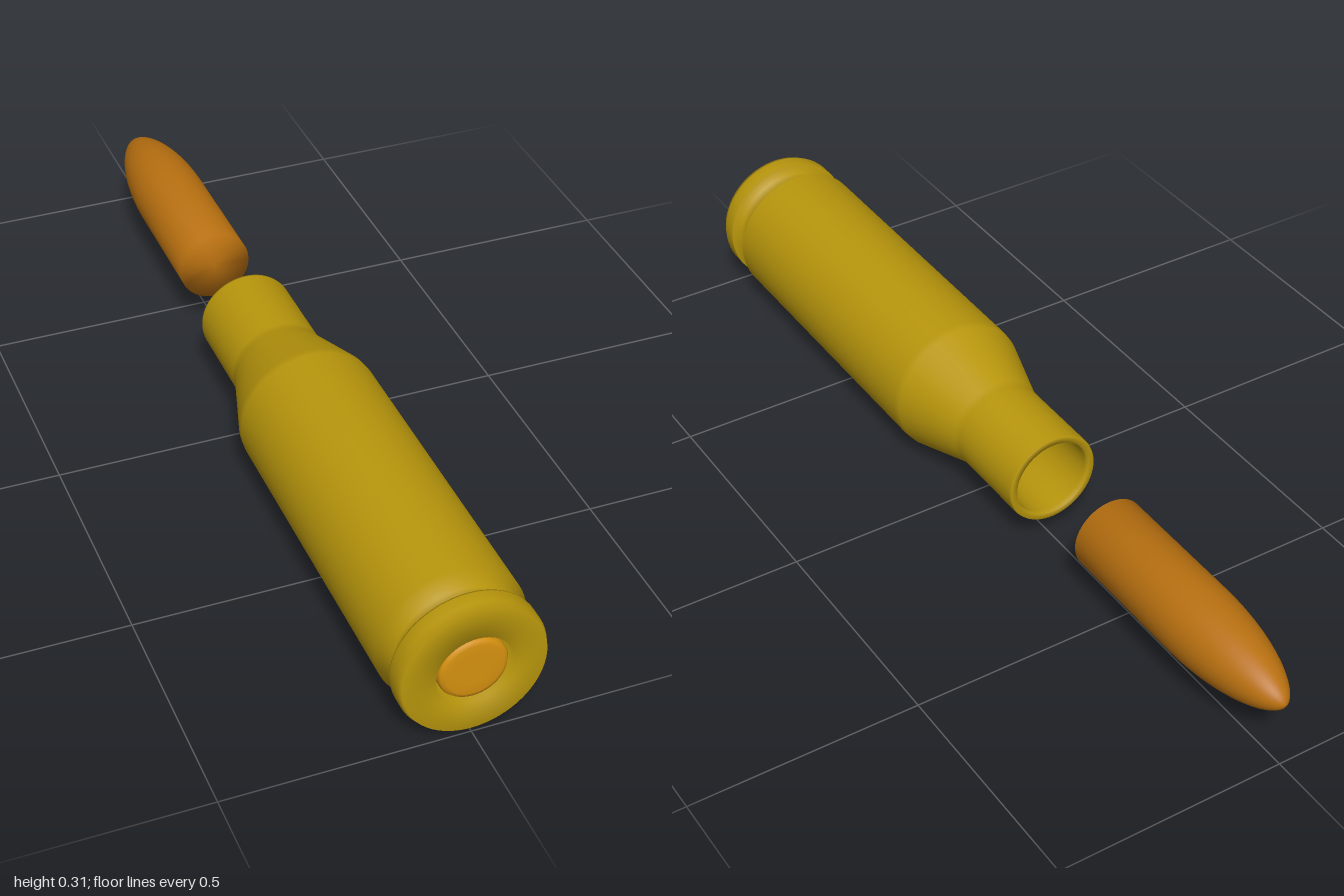
import * as THREE from 'three';

const AXIS_Y = 0.154;

// Revolves a [radius, z] profile about the z axis.
function turned(name, profile, color) {
  const points = profile.map(([r, z]) => new THREE.Vector2(r, z));
  const geometry = new THREE.LatheGeometry(points, 64).rotateX(Math.PI / 2);
  const mesh = new THREE.Mesh(geometry, new THREE.MeshStandardMaterial({ color, side: THREE.DoubleSide }));
  mesh.name = name;
  mesh.position.y = AXIS_Y;
  return mesh;
}

export function createModel() {
  const group = new THREE.Group();
  group.name = 'cartridge';

  // Hollow case: inside wall, mouth, neck, shoulder, body, groove, rim, primer pocket
  group.add(turned('case', [
    [0, 0.86], [0.125, 0.85], [0.135, 0.17], [0.086, 0.02], [0.086, -0.2],
    [0.088, -0.212], [0.102, -0.212], [0.104, -0.205],
    [0.104, -0.01], [0.106, 0.01], [0.152, 0.16], [0.154, 0.18],
    [0.154, 0.892], [0.127, 0.918], [0.127, 0.948],
    [0.15, 0.953], [0.151, 0.957], [0.151, 0.985], [0.145, 1],
    [0.078, 1], [0.076, 0.965], [0, 0.965],
  ], 0xb8960c));

  // Primer seated in the base
  group.add(turned('primer', [
    [0.071, 0.965], [0.071, 0.988], [0.067, 0.995], [0.058, 0.998], [0.035, 0.998], [0, 0.998],
  ], 0xd4900f));

  // Bullet: flat base, straight shank, curved nose
  const bullet = [[0, -0.418], [0.082, -0.418], [0.082, -0.72]];
  const steps = 14;
  for (let i = 1; i <= steps; i++) {
    const a = (i / steps) * Math.PI / 2;
    bullet.push([0.082 * Math.pow(Math.max(0, Math.cos(a)), 1.15), -0.72 - 0.28 * Math.sin(a)]);
  }
  group.add(turned('bullet', bullet.reverse(), 0xb87010));

  return group;
}
